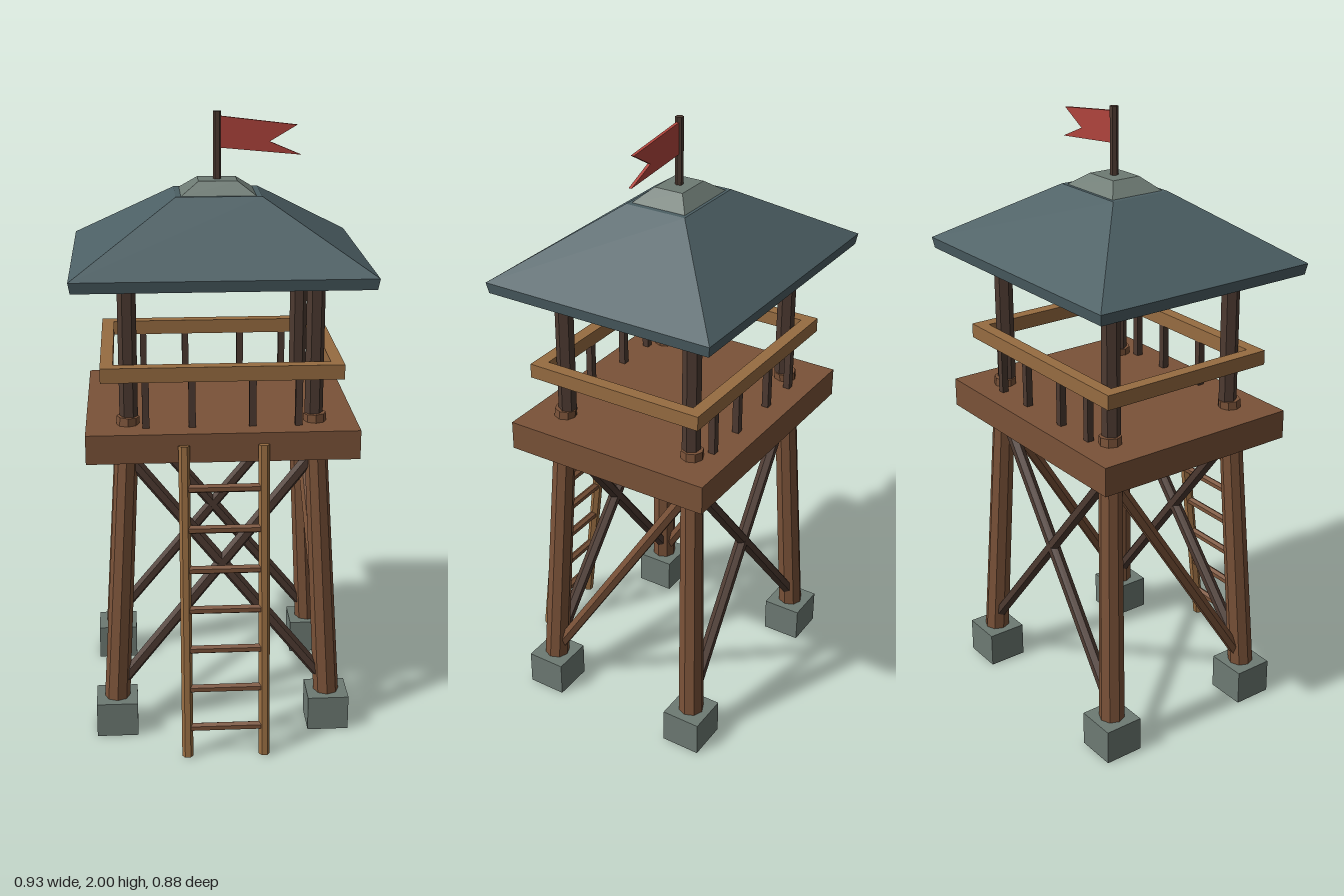
import * as THREE from 'three';

const material = (name, color) => {
  const m = new THREE.MeshStandardMaterial({ color });
  m.name = name;
  return m;
};

export function createModel() {
  const timber = material('timber brown', 0x7a5238);
  const darkWood = material('dark wood', 0x4d3a31);
  const paleWood = material('pale wood', 0x976c41);
  const stone = material('stone grey', 0x6d7a73);
  const slate = material('roof slate', 0x4c5f64);
  const red = material('flag red', 0xb0443c);

  const model = new THREE.Group();
  model.name = 'watchtower';
  const tower = new THREE.Group();
  tower.name = 'tower';
  tower.position.z = -0.052;
  model.add(tower);

  // Adds a mesh with faceted normals
  const add = (name, geometry, mat, parent = tower) => {
    const g = geometry.index ? geometry.toNonIndexed() : geometry;
    g.computeVertexNormals();
    const mesh = new THREE.Mesh(g, mat);
    mesh.name = name;
    parent.add(mesh);
    return mesh;
  };

  const box = (name, w, h, d, x, y, z, mat) =>
    add(name, new THREE.BoxGeometry(w, h, d).translate(x, y, z), mat);

  // Log between two points
  const log = (name, a, b, r0, r1, sides, mat, parent) => {
    const dir = b.clone().sub(a);
    const g = new THREE.CylinderGeometry(r1, r0, dir.length(), sides).rotateY(Math.PI / 2);
    const mesh = add(name, g, mat, parent);
    mesh.position.copy(a).add(b).multiplyScalar(0.5);
    mesh.quaternion.setFromUnitVectors(new THREE.Vector3(0, 1, 0), dir.normalize());
    return mesh;
  };

  // Box whose top and bottom rectangles differ: [half width, half depth, y]
  const frustum = (name, bottom, top, mat) => {
    const g = new THREE.BoxGeometry(2, 2, 2);
    const p = g.attributes.position;
    for (let i = 0; i < p.count; i++) {
      const [hx, hz, y] = p.getY(i) > 0 ? top : bottom;
      p.setXYZ(i, p.getX(i) * hx, y, p.getZ(i) * hz);
    }
    return add(name, g, mat);
  };

  const V = (x, y, z) => new THREE.Vector3(x, y, z);
  // Point on a leaning leg's axis at height y
  const onLeg = (sx, sz, y) => {
    const t = (y - 0.1) / 0.985;
    return V(sx * (0.35 - 0.055 * t), y, sz * (0.275 - 0.04 * t));
  };

  // Footings, legs and roof posts
  for (const sx of [-1, 1]) {
    for (const sz of [-1, 1]) {
      box('footing', 0.135, 0.117, 0.13, sx * 0.35, 0.0585, sz * 0.275, stone);
      log('leg', onLeg(sx, sz, 0.1), onLeg(sx, sz, 1.085), 0.042, 0.036, 8, timber);
      log('roofPost', V(sx * 0.293, 1.05, sz * 0.23), V(sx * 0.293, 1.53, sz * 0.23), 0.029, 0.029, 6, darkWood);
    }
  }

  // Cross braces front and back, single diagonals on the sides
  for (const s of [-1, 1]) {
    for (const d of [-1, 1]) {
      log('crossBrace', onLeg(-d, s, 0.15), onLeg(d, s, 0.96), 0.021, 0.021, 6, darkWood);
    }
    log('sideBrace', onLeg(s, 1, 0.13), onLeg(s, -1, 0.95), 0.021, 0.021, 6, timber);
  }

  // Platform
  box('platform', 0.856, 0.094, 0.7, 0, 1.013, 0, timber);

  // Railing
  for (const s of [-1, 1]) {
    box('railLong', 0.758, 0.047, 0.04, 0, 1.237, s * 0.283, paleWood);
    box('railSide', 0.04, 0.047, 0.526, s * 0.359, 1.237, 0, paleWood);
    for (const x of [-0.24, -0.095, 0.095, 0.24]) {
      box('baluster', 0.022, 0.16, 0.022, x, 1.138, s * 0.276, darkWood);
    }
  }

  // Roof with a thin eave and a cap
  frustum('eave', [0.458, 0.382, 1.515], [0.464, 0.388, 1.55], slate);
  frustum('roof', [0.464, 0.388, 1.55], [0.135, 0.103, 1.75], slate);
  frustum('roofCap', [0.118, 0.093, 1.75], [0.061, 0.049, 1.79], stone);

  // Flagpole and swallow-tailed flag
  log('flagpole', V(0, 1.78, 0), V(0, 2, 0), 0.013, 0.013, 6, darkWood);
  const outline = [[0.008, 1.985], [0.008, 1.887], [0.265, 1.863], [0.165, 1.905], [0.252, 1.956]];
  const flagShape = new THREE.Shape(outline.map(([x, y]) => new THREE.Vector2(x, y)));
  const flag = new THREE.ExtrudeGeometry(flagShape, { depth: 0.01, bevelEnabled: false });
  add('flag', flag.translate(0, 0, -0.005), red);

  // Leaning ladder
  const ladder = new THREE.Group();
  ladder.name = 'ladder';
  model.add(ladder);
  const ladderZ = (y) => 0.426 - 0.118 * (y - 0.01) / 1.01;
  for (const s of [-1, 1]) {
    log('ladderRail', V(s * 0.124, 0.002, ladderZ(0.002)), V(s * 0.124, 1.025, ladderZ(1.025)), 0.018, 0.018, 6, paleWood, ladder);
  }
  for (let i = 0; i < 7; i++) {
    const y = 0.1 + i * 0.1315;
    log('rung', V(-0.124, y, ladderZ(y)), V(0.124, y, ladderZ(y)), 0.014, 0.014, 6, timber, ladder);
  }

  return model;
}
